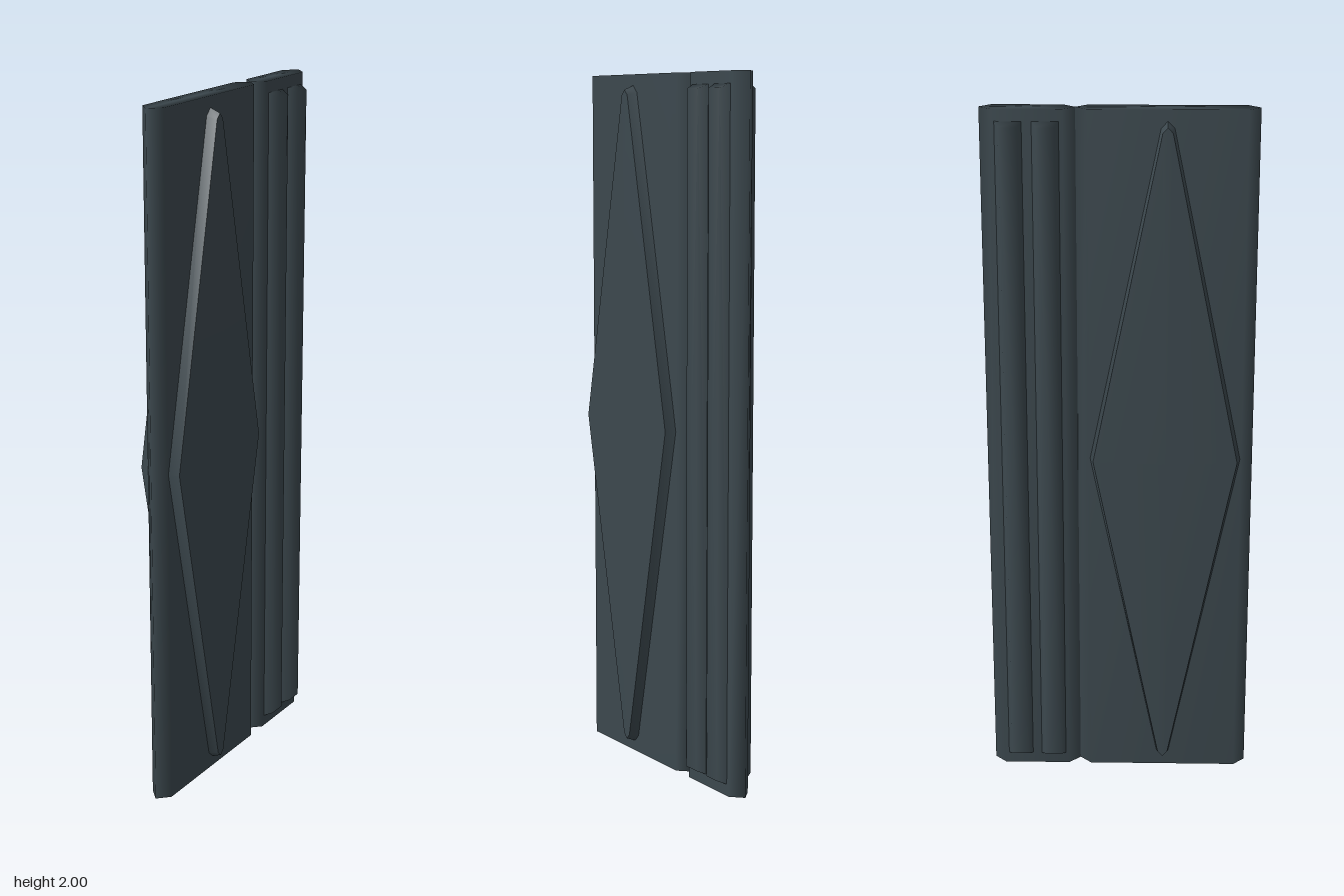
import * as THREE from 'three';
import { toCreasedNormals } from 'three/addons/utils/BufferGeometryUtils.js';

// Skins rings of points (counter-clockwise seen from the end) and closes the
// last ring with a fan to `tip`; `foot`, if given, closes the first ring too.
function loft(rings, tip, foot) {
  const n = rings[0].length;
  const points = [...rings.flat(), tip];
  const index = [];
  for (let r = 0; r < rings.length - 1; r++) {
    for (let i = 0; i < n; i++) {
      const a = r * n + i, b = r * n + (i + 1) % n;
      index.push(a, b, b + n, a, b + n, a + n);
    }
  }
  const last = (rings.length - 1) * n, tipId = points.length - 1;
  for (let i = 0; i < n; i++) index.push(last + i, last + (i + 1) % n, tipId);
  if (foot) {
    points.push(foot);
    for (let i = 0; i < n; i++) index.push((i + 1) % n, i, tipId + 1);
  }
  const g = new THREE.BufferGeometry();
  g.setAttribute('position', new THREE.Float32BufferAttribute(points.flat(), 3));
  g.setIndex(index);
  g.computeVertexNormals();
  return g;
}

// Upright slab with pointed front and back edges
function panelGeometry(z0, z1) {
  const t = 0.033, c = 0.033;
  const ring = y => [
    [0, y, z1], [t, y, z1 - c], [t, y, z0 + c],
    [0, y, z0], [-t, y, z0 + c], [-t, y, z1 - c],
  ];
  const mid = (z0 + z1) / 2;
  return loft([ring(0), ring(2)], [0, 2, mid], [0, 0, mid]);
}

// Raised diamond with steep walls and a shallow pyramid face
function diamondGeometry() {
  const ring = (x, tip, shoulder, blunt, half) => [
    [x, tip, 0], [x, shoulder, blunt], [x, 0, half], [x, -shoulder, blunt],
    [x, -tip, 0], [x, -shoulder, -blunt], [x, 0, -half], [x, shoulder, -blunt],
  ];
  const g = loft([ring(0.03, 0.97, 0.95, 0.019, 0.215), ring(0.063, 0.957, 0.942, 0.014, 0.205)],
    [0.079, 0, 0]);
  return toCreasedNormals(g, Math.PI / 4);
}

// Long bevelled rib
function ribGeometry() {
  const ring = (x, h, w) => [[x, h, -w], [x, h, w], [x, -h, w], [x, -h, -w]];
  return loft([ring(0.03, 0.968, 0.038), ring(0.059, 0.955, 0.025)], [0.059, 0, 0]);
}

export function createModel() {
  const model = new THREE.Group();
  model.name = 'panelledFin';
  const slate = new THREE.MeshStandardMaterial({ color: 0x3c484e });
  slate.name = 'darkSlate';

  const add = (name, geometry) => {
    const mesh = new THREE.Mesh(geometry, slate);
    mesh.name = name;
    model.add(mesh);
    return mesh;
  };

  // Two slabs meeting edge to edge
  add('frontPanel', panelGeometry(-0.12, 0.38));
  add('rearPanel', panelGeometry(-0.38, -0.12));

  // Raised details on both faces; a half turn about z makes the right side
  const diamond = diamondGeometry(), rib = ribGeometry();
  for (const [side, turn] of [['left', 0], ['right', Math.PI]]) {
    const details = [
      ['Diamond', diamond, 0.13],
      ['InnerRib', rib, -0.2],
      ['OuterRib', rib, -0.3],
    ];
    for (const [name, geometry, z] of details) {
      const mesh = add(side + name, geometry);
      mesh.position.set(0, 1, z);
      mesh.rotation.z = turn;
    }
  }
  return model;
}
